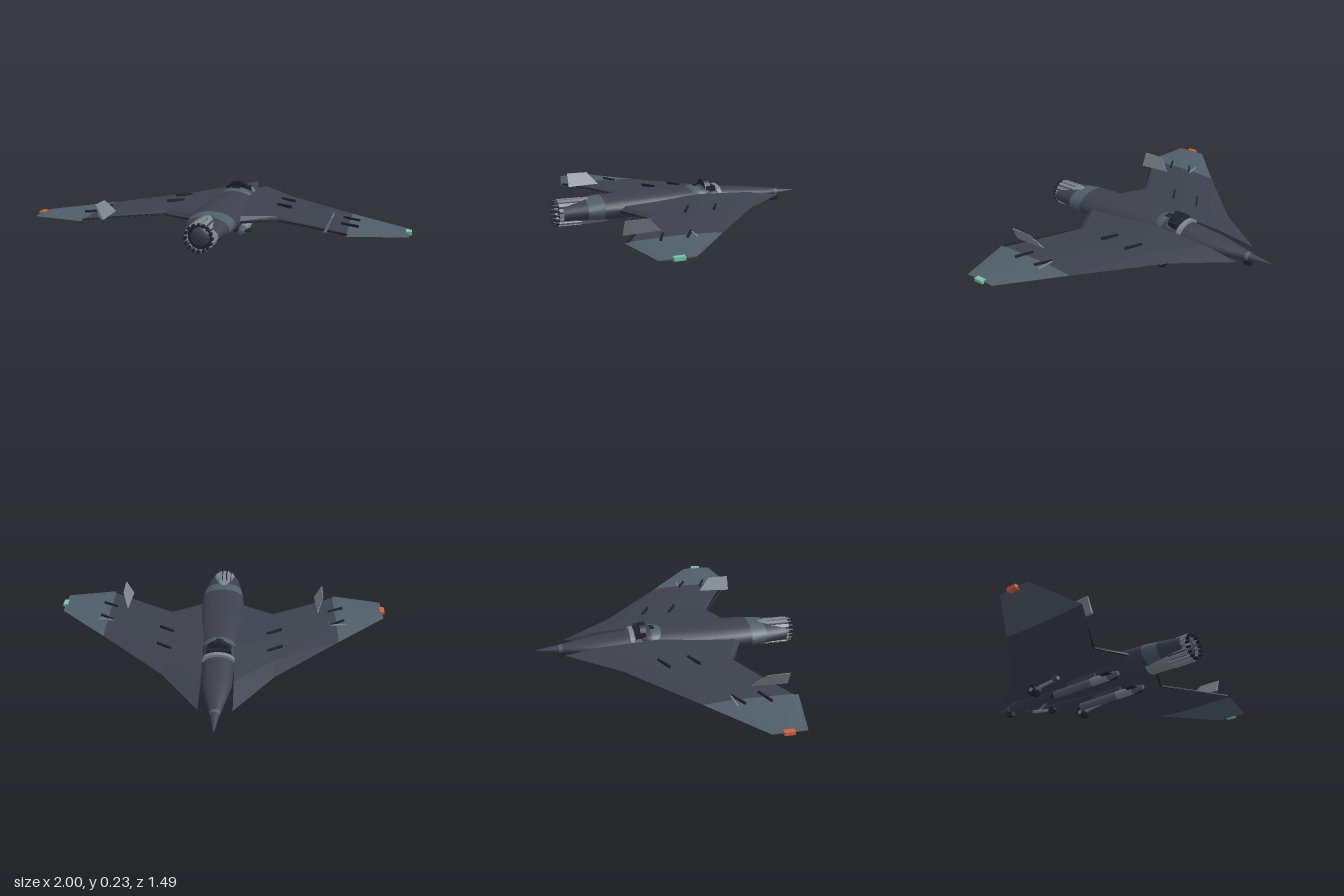
import * as THREE from 'three';
import { mergeVertices } from 'three/addons/utils/BufferGeometryUtils.js';

const mat = (name, color) => Object.assign(new THREE.MeshStandardMaterial({ color }), { name });

export function createModel() {
  const skin = mat('dark hull', 0x3d414d);
  const panel = mat('blue grey panel', 0x4f5e69);
  const metal = mat('light metal', 0x7d868b);
  const black = mat('black trim', 0x20242b);
  const red = mat('red light', 0xd0603f);
  const green = mat('green light', 0x72c4a4);

  const model = new THREE.Group();
  model.name = 'deltaJet';

  const add = (name, geo, material, x = 0, y = 0, z = 0) => {
    const m = new THREE.Mesh(geo, material);
    m.name = name;
    m.position.set(x, y, z);
    model.add(m);
    return m;
  };
  const box = (w, h, d) => new THREE.BoxGeometry(w, h, d);
  // cylinder along z; r1 is the radius at the +z end
  const tubeZ = (r1, r2, len, n = 16, open = false) =>
    new THREE.CylinderGeometry(r1, r2, len, n, 1, open).rotateX(Math.PI / 2);

  // Skin over equal-length rings of points, with capped ends, facing outward
  function loft(rings, flat, caps = true) {
    const n = rings[0].length, pos = rings.flat(2), tris = [];
    for (let i = 0; i < rings.length - 1; i++) for (let j = 0; j < n; j++) {
      const a = i * n + j, b = i * n + (j + 1) % n;
      tris.push([a, b, a + n], [b, b + n, a + n]);
    }
    if (caps) for (let j = 1; j < n - 1; j++) {
      const e = (rings.length - 1) * n;
      tris.push([0, j + 1, j], [e, e + j, e + j + 1]);
    }
    const v = (i) => new THREE.Vector3().fromArray(pos, i * 3);
    const c = v(0).add(v(pos.length / 3 - 1)).multiplyScalar(0.5);
    let volume = 0;
    for (const [p, q, r] of tris) volume += v(p).sub(c).dot(v(q).sub(c).cross(v(r).sub(c)));
    const index = tris.flatMap(([p, q, r]) => (volume < 0 ? [p, r, q] : [p, q, r]));
    let g = new THREE.BufferGeometry();
    g.setAttribute('position', new THREE.Float32BufferAttribute(pos, 3));
    g.setIndex(index);
    g = flat ? g.toNonIndexed() : mergeVertices(g);
    g.computeVertexNormals();
    return g;
  }

  // Fuselage sections: z, half width, bottom, top
  const hull = [
    [-0.75, 0.002, 0.119, 0.122], [-0.62, 0.027, 0.1, 0.14], [-0.6, 0.031, 0.098, 0.143],
    [-0.5, 0.057, 0.088, 0.156], [-0.4, 0.08, 0.08, 0.168], [-0.2, 0.092, 0.068, 0.188],
    [0, 0.112, 0.06, 0.194], [0.2, 0.13, 0.056, 0.194], [0.38, 0.133, 0.056, 0.192],
    [0.48, 0.127, 0.056, 0.189], [0.57, 0.115, 0.06, 0.18], [0.7, 0.092, 0.064, 0.166]];
  const ring = ([z, w, lo, hi]) => Array.from({ length: 24 }, (_, k) => {
    const a = (k / 24) * Math.PI * 2;
    return [w * Math.cos(a), (lo + hi) / 2 + (hi - lo) / 2 * Math.sin(a), z];
  });
  const body = (name, from, to, m, caps) => add(name, loft(hull.slice(from, to + 1).map(ring), false, caps), m);
  body('noseTip', 0, 1, skin, false);
  body('noseBand', 1, 2, panel, false);
  body('fuselage', 2, 9, skin, false);
  body('tailBand', 9, 10, panel, false);
  body('tailCone', 10, 11, skin, false);

  // Cockpit: dark cowl in front, glass behind, two arched frames
  const dome = (start) => new THREE.SphereGeometry(1, 24, 16, start, Math.PI).scale(0.095, 0.048, 0.1);
  add('canopy', dome(0), panel, 0, 0.155, -0.1);
  add('cockpitCowl', dome(Math.PI), skin, 0, 0.155, -0.1);
  add('canopyFrame', tubeZ(0.07, 0.07, 0.034, 24), black, 0, 0.165, -0.144);
  add('cockpitSill', box(0.14, 0.03, 0.055), black, 0, 0.187, -0.16);
  add('windscreenArch', tubeZ(0.09, 0.09, 0.025, 24).scale(1, 0.52, 1), metal, 0, 0.155, -0.208);
  add('canopyLatch', box(0.04, 0.012, 0.025), black, 0, 0.201, -0.09);
  add('chinSensor', box(0.03, 0.025, 0.045), black, 0, 0.083, -0.612);

  // Engine nozzle with separate petals and a bead on each tip
  const nozzleY = 0.11;
  add('nozzle', tubeZ(0.074, 0.07, 0.15, 28), metal, 0, nozzleY, 0.525);
  add('nozzleThroat', tubeZ(0.064, 0.064, 0.1, 28), black, 0, nozzleY, 0.645);
  add('exhaustCone', new THREE.SphereGeometry(0.05, 20, 12).scale(1, 1, 0.5), skin, 0, nozzleY, 0.69);
  for (let i = 0; i < 16; i++) {
    const a = (i / 16) * Math.PI * 2, c = Math.cos(a), s = Math.sin(a);
    const petal = add('nozzlePetal', box(0.012, 0.019, 0.13), metal, 0.069 * c, nozzleY + 0.069 * s, 0.655);
    petal.rotation.z = a;
    add('petalTip', tubeZ(0.007, 0.009, 0.024, 8), black, 0.066 * c, nozzleY + 0.066 * s, 0.73);
  }

  // Wing sections: x, leading z, trailing z, bottom, top, edge height
  const wing = [
    [0.09, -0.59, 0.425, 0.086, 0.168, 0.122], [0.31, -0.3, 0.32, 0.099, 0.146, 0.12],
    [0.69, 0.05, 0.55, 0.105, 0.125, 0.114], [0.985, 0.31, 0.49, 0.108, 0.117, 0.112]];
  const airfoil = (side) => ([x, lead, trail, lo, hi, mid]) => {
    const chord = trail - lead;
    return [[mid, lead], [mid + (hi - mid) * 0.7, lead + chord * 0.2], [hi, lead + chord * 0.5],
      [mid + (hi - mid) * 0.55, trail - 0.035], [mid, trail], [mid + (lo - mid) * 0.55, trail - 0.035],
      [lo, lead + chord * 0.5], [mid + (lo - mid) * 0.7, lead + chord * 0.2]].map(([y, z]) => [side * x, y, z]);
  };

  for (const s of [1, -1]) {
    const side = s > 0 ? 'left' : 'right';
    const rings = wing.map(airfoil(s));
    add(side + 'Wing', loft(rings.slice(0, 3), true), skin);
    add(side + 'WingPanel', loft(rings.slice(2), true), panel);
    add(side + 'TipLight', box(0.028, 0.018, 0.055), s > 0 ? green : red, s * 0.986, 0.114, 0.395);

    // Dark strips along the trailing edge
    for (const [x1, z1, x2, z2] of [[0.13, 0.397, 0.31, 0.306], [0.31, 0.306, 0.69, 0.535]]) {
      const strip = add(side + 'Flap', box(Math.hypot(x2 - x1, z2 - z1), 0.009, 0.018), black,
        s * (x1 + x2) / 2, 0.119, (z1 + z2) / 2);
      strip.rotation.y = -s * Math.atan2(z2 - z1, x2 - x1);
    }

    // Canted tail fin
    const lean = (x, y, z, t) => [[s * (x - t), y, z], [s * (x + t), y, z]];
    const finRing = (x, y, z1, z2, t) => [...lean(x, y, z1, t * 0.3), ...lean(x, y, z2, t).reverse()];
    add(side + 'Fin', loft([finRing(0.584, 0.122, 0.33, 0.525, 0.009),
      finRing(0.618, 0.2, 0.4, 0.525, 0.004)], true), metal);

    // Slanted vanes on the upper wing
    for (const [x, y, z, turn] of [[0.315, 0.147, -0.075, 0.53], [0.315, 0.149, 0.09, 0.53],
      [0.695, 0.126, 0.23, 0.55], [0.695, 0.127, 0.37, 0.45]]) {
      add(side + 'Vane', box(0.1, 0.016, 0.01), black, s * x, y, z).rotation.y = -s * turn;
    }
    add(side + 'WingProbe', box(0.1, 0.008, 0.008), metal, s * 0.7, 0.126, 0.207).rotation.y = -s * 0.1;

    // Missile, fins and pylon
    const mx = s * 0.115, my = 0.042;
    add(side + 'Missile', tubeZ(0.022, 0.022, 0.38), panel, mx, my, 0.06);
    add(side + 'MissileBand', tubeZ(0.0235, 0.0235, 0.11), metal, mx, my, 0.195);
    add(side + 'MissileTail', tubeZ(0.013, 0.022, 0.07), panel, mx, my, 0.285);
    add(side + 'MissileNose', tubeZ(0.022, 0.004, 0.04), black, mx, my, -0.15);
    add(side + 'MissileFins', box(0.1, 0.006, 0.06), black, mx, my, 0.26);
    add(side + 'MissilePylon', box(0.015, 0.04, 0.2), skin, mx, 0.075, 0.06);

    // Main wheels folded back under the wing
    for (const dx of [-0.016, 0.016]) {
      add(side + 'MainWheel', new THREE.CylinderGeometry(0.03, 0.03, 0.022, 20).rotateZ(Math.PI / 2),
        black, s * 0.215 + dx, 0.053, -0.205);
      add(side + 'WheelHub', new THREE.CylinderGeometry(0.013, 0.013, 0.026, 12).rotateZ(Math.PI / 2),
        metal, s * 0.215 + dx, 0.053, -0.205);
    }
    add(side + 'GearStrut', tubeZ(0.009, 0.009, 0.19, 10), metal, s * 0.215, 0.07, -0.115).rotation.x = -0.12;
    add(side + 'GearMount', box(0.03, 0.045, 0.03), skin, s * 0.215, 0.092, -0.04);
  }

  // Nose gear folded forward
  add('noseWheel', new THREE.CylinderGeometry(0.021, 0.021, 0.024, 20).rotateZ(Math.PI / 2), black, 0, 0.021, -0.26);
  add('noseStrut', tubeZ(0.009, 0.009, 0.16, 10), metal, 0, 0.035, -0.335).rotation.x = 0.17;
  const brace = add('noseBrace', tubeZ(0.006, 0.006, 0.1, 8), metal, 0, 0.06, -0.345);
  brace.rotation.x = -0.5;
  return model;
}
